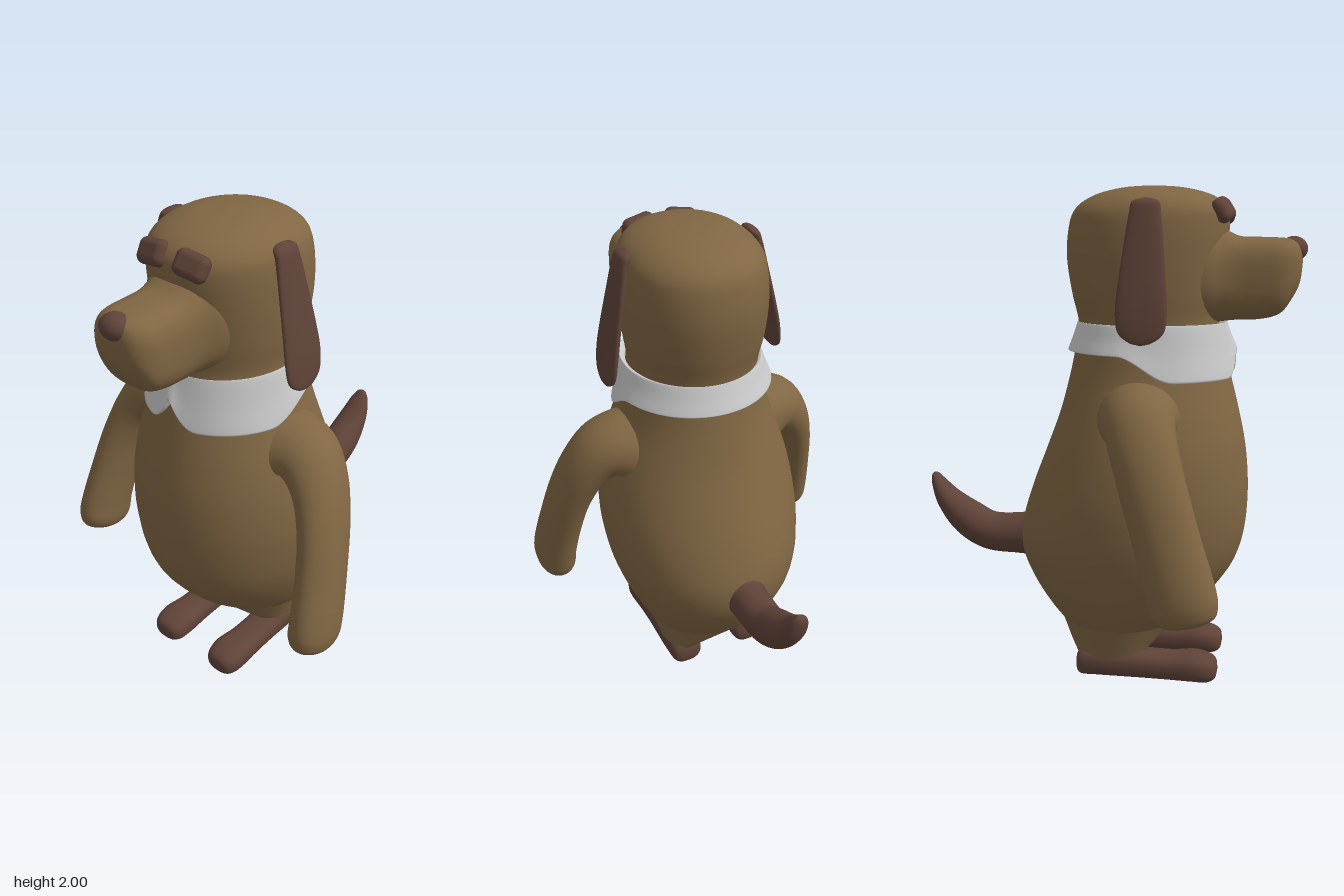
import * as THREE from 'three';
import { RoundedBoxGeometry } from 'three/addons/geometries/RoundedBoxGeometry.js';

const X = new THREE.Vector3(1, 0, 0), Y = new THREE.Vector3(0, 1, 0), Z = new THREE.Vector3(0, 0, 1);
const fur = new THREE.MeshStandardMaterial({ color: 0x806643 });
const dark = new THREE.MeshStandardMaterial({ color: 0x5f4338 });
const grey = new THREE.MeshStandardMaterial({ color: 0xcccccc, side: THREE.DoubleSide });

// Smooth loft through stations [x, y, z, radiusU, radiusV, squareness = 2].
// U is ref x direction, V is direction x U. Without dir the rings follow the path.
function loft(stations, ref, dir, segs = 40, steps = 5) {
  const path = new THREE.CatmullRomCurve3(stations.map(s => new THREE.Vector3(s[0], s[1], s[2])), false, 'catmullrom');
  const size = new THREE.CatmullRomCurve3(stations.map(s => new THREE.Vector3(s[3], s[4], s[5] ?? 2)), false, 'catmullrom');
  const rows = (stations.length - 1) * steps, pos = [], index = [];
  const round = (v, n) => Math.sign(v) * Math.abs(v) ** (2 / n);
  for (let i = 0; i <= rows; i++) {
    const c = path.getPoint(i / rows), r = size.getPoint(i / rows);
    const t = dir ?? path.getTangent(i / rows);
    const u = ref.clone().cross(t).normalize(), v = t.clone().cross(u);
    for (let j = 0; j < segs; j++) {
      const a = j / segs * Math.PI * 2;
      const p = c.clone()
        .addScaledVector(u, Math.max(r.x, 0.0005) * round(Math.cos(a), r.z))
        .addScaledVector(v, Math.max(r.y, 0.0005) * round(Math.sin(a), r.z));
      pos.push(p.x, p.y, p.z);
      if (i < rows) {
        const k = i * segs + j, l = i * segs + (j + 1) % segs;
        index.push(k, l, k + segs, l, l + segs, k + segs);
      }
    }
  }
  const g = new THREE.BufferGeometry();
  g.setAttribute('position', new THREE.Float32BufferAttribute(pos, 3));
  g.setIndex(index);
  g.computeVertexNormals();
  return g;
}

// Move every vertex by a rule
function reshape(g, rule) {
  const p = g.attributes.position, v = new THREE.Vector3();
  for (let i = 0; i < p.count; i++) {
    rule(v.fromBufferAttribute(p, i));
    p.setXYZ(i, v.x, v.y, v.z);
  }
  g.computeVertexNormals();
  return g;
}

export function createModel() {
  const model = new THREE.Group();
  const add = (name, geometry, material, parent = model) => {
    const mesh = new THREE.Mesh(geometry, material);
    mesh.name = name;
    parent.add(mesh);
    return mesh;
  };

  // Torso, neck and head: [y, half width, front z, back z, squareness]
  const trunk = [
    [0.22, 0.265, 0.29, -0.205], [0.30, 0.31, 0.385, -0.27], [0.40, 0.355, 0.47, -0.33],
    [0.50, 0.39, 0.53, -0.37], [0.62, 0.415, 0.562, -0.372], [0.78, 0.425, 0.572, -0.325],
    [0.95, 0.405, 0.56, -0.26], [1.10, 0.365, 0.53, -0.205], [1.25, 0.31, 0.492, -0.165],
    [1.36, 0.283, 0.462, -0.143], [1.46, 0.262, 0.44, -0.13], [1.58, 0.275, 0.45, -0.155, 2.1],
    [1.72, 0.282, 0.465, -0.175, 2.15], [1.84, 0.277, 0.475, -0.167, 2.15], [1.91, 0.258, 0.465, -0.14, 2.15],
    [1.96, 0.205, 0.41, -0.07, 2.1], [1.99, 0.12, 0.3, 0.04], [2.0, 0, 0.17, 0.17],
  ].map(([y, w, f, b, n]) => [0, y, (f + b) / 2, w, (f - b) / 2, n]);
  add('bodyAndHead', loft(trunk, Z, Y, 48), fur);

  // Muzzle and nose
  add('muzzle', loft([
    [0, 1.665, 0.32, 0.22, 0.21, 2.2], [0, 1.66, 0.4, 0.2, 0.185, 2.3], [0, 1.65, 0.46, 0.18, 0.157, 2.5],
    [0, 1.64, 0.52, 0.163, 0.143, 3],
    [0, 1.64, 0.60, 0.16, 0.14, 3], [0, 1.65, 0.68, 0.147, 0.135, 3], [0, 1.68, 0.73, 0.11, 0.11, 2.6],
    [0, 1.70, 0.755, 0.07, 0.07], [0, 1.71, 0.763, 0, 0],
  ], X, Z), fur);
  const nose = add('nose', new THREE.SphereGeometry(1, 24, 16), dark);
  nose.scale.set(0.065, 0.049, 0.055);
  nose.position.set(0, 1.754, 0.726);

  // Tail
  add('tail', loft([
    [0, 0.55, -0.33, 0.1, 0.09], [0, 0.545, -0.4, 0.088, 0.083], [0, 0.55, -0.53, 0.083, 0.08],
    [0, 0.605, -0.63, 0.078, 0.078], [0, 0.68, -0.71, 0.055, 0.065], [0, 0.75, -0.755, 0.032, 0.045],
    [0, 0.79, -0.773, 0.015, 0.022], [0, 0.8, -0.777, 0, 0],
  ], X), dark);

  // Collar: lower edge drops toward the front and parts in a notch
  const collar = loft([
    [0, 0, 0.17, 0.285, 0.305], [0, 0, 0.17, 0.324, 0.338], [0, 0.1, 0.17, 0.324, 0.339],
    [0, 0.5, 0.17, 0.304, 0.322], [0, 0.95, 0.17, 0.288, 0.305], [0, 1, 0.17, 0.28, 0.3], [0, 0.9, 0.17, 0.262, 0.28],
  ], Z, Y, 120, 3);
  reshape(collar, v => {
    const front = THREE.MathUtils.smoothstep((v.z - 0.17) / 0.34, -0.3, 0.35);
    const notch = v.z > 0.17 ? 0.12 * Math.max(0, 1 - Math.abs(v.x) / 0.115) ** 2.1 : 0;
    v.y = THREE.MathUtils.lerp(1.35 - 0.1 * front + notch, 1.465, v.y);
  });
  add('collar', collar, grey);

  // Leg: a half of the torso's lower edge narrowing to a round ankle, arched on the inside
  const leg = reshape(loft([[0, 0.09, 0, 1, 1], [0, 0.22, 0, 1, 1]], Z, Y, 48, 10), v => {
    const t = THREE.MathUtils.clamp((v.y - 0.09) / 0.13, 0, 1);
    const w = t ** (1.35 - 0.35 * v.x);
    v.x = THREE.MathUtils.lerp(0.155 + 0.074 * v.x, 0.265 * Math.max(0, v.x), w);
    v.z = THREE.MathUtils.lerp(0.02 + 0.13 * v.z, 0.0425 + 0.2475 * v.z, t);
  });
  // Foot, along z with a flat sole: [z, half height, half width]
  const foot = loft([
    [-0.118, 0, 0], [-0.112, 0.036, 0.045], [-0.092, 0.057, 0.068], [-0.03, 0.062, 0.075], [0.06, 0.062, 0.075],
    [0.17, 0.058, 0.072], [0.28, 0.056, 0.074], [0.37, 0.06, 0.081], [0.43, 0.055, 0.074], [0.463, 0.036, 0.05],
    [0.472, 0, 0],
  ].map(([z, h, w]) => [0.157, Math.max(h, 0.054), z, h, w, 2.5]), X, Z);
  // Arm, flared where it joins the shoulder
  const arm = loft([
    [0.22, 1.07, 0.16, 0.2, 0.2], [0.31, 1.105, 0.162, 0.155, 0.165], [0.4, 1.1, 0.175, 0.12, 0.138],
    [0.48, 1.01, 0.205, 0.095, 0.128], [0.535, 0.87, 0.25, 0.084, 0.125], [0.57, 0.7, 0.303, 0.084, 0.125],
    [0.593, 0.54, 0.352, 0.087, 0.13], [0.597, 0.46, 0.372, 0.083, 0.125, 2.2], [0.597, 0.415, 0.382, 0.062, 0.095],
    [0.597, 0.4, 0.385, 0, 0],
  ], Z);
  // Ear flap
  const ear = loft([
    [0.373, 1.4, 0.172, 0, 0], [0.37, 1.412, 0.172, 0.01, 0.045], [0.364, 1.45, 0.172, 0.016, 0.088],
    [0.354, 1.53, 0.172, 0.018, 0.098], [0.336, 1.63, 0.172, 0.019, 0.09], [0.305, 1.78, 0.174, 0.018, 0.074],
    [0.28, 1.89, 0.175, 0.02, 0.06], [0.264, 1.93, 0.175, 0.022, 0.05], [0.255, 1.945, 0.175, 0, 0],
  ].map(s => [...s, 2.5]), Z, Y, 32);
  const lid = new RoundedBoxGeometry(0.135, 0.098, 0.06, 6, 0.03);

  // Paired parts, mirrored
  for (const side of [1, -1]) {
    const half = new THREE.Group();
    half.name = side > 0 ? 'leftSide' : 'rightSide';
    half.scale.x = side;
    add('leg', leg, fur, half);
    add('foot', foot, dark, half);
    add('arm', arm, fur, half);
    add('ear', ear, dark, half);
    const brow = add('eyelid', lid, dark, half);
    brow.position.set(0.09, 1.902, 0.452);
    brow.rotation.set(-0.55, 0.18, -0.08);
    model.add(half);
  }
  return model;
}
